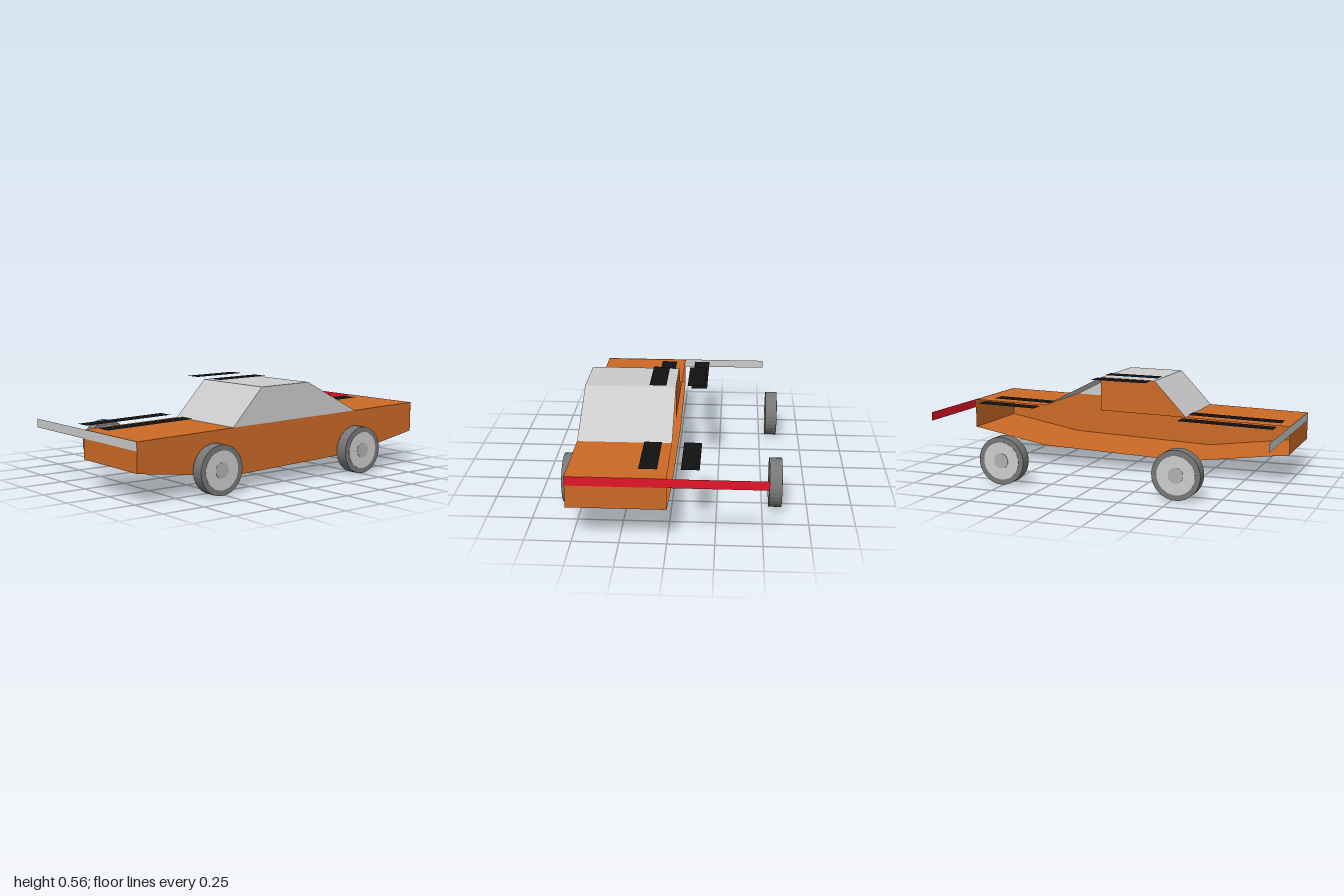
import * as THREE from 'three';

const paint = (color) =>
  new THREE.MeshStandardMaterial({ color, side: THREE.DoubleSide, flatShading: true });
const orange = paint(0xcc6a26), grey = paint(0xcccccc), black = paint(0x111111);
const red = paint(0xe61428), rubber = paint(0x777777), hubGrey = paint(0xb0b0b0);

const DEPTH = 0.525;
// Profile corners [x, y]
const floorLine = [[-1, 0.165], [-0.385, 0.083], [0.525, 0.115], [1, 0.2]];
const rearDeck = [[-1, 0.328], [-0.385, 0.344]];
const hoodLine = [[0.52, 0.364], [1, 0.375]];
const cabinLine = [rearDeck[1], [-0.19, 0.55], [0.15, 0.555], hoodLine[0]];

export function createModel() {
  const car = new THREE.Group();
  car.name = 'car';

  const add = (name, geometry, material, parent = car) => {
    const mesh = new THREE.Mesh(geometry, material);
    mesh.name = name;
    parent.add(mesh);
    return mesh;
  };

  // Sweeps a profile line sideways from z0 to z1, one quad per segment
  const sheet = (name, line, material, z0 = 0, z1 = DEPTH) => {
    const p = [];
    for (let i = 0; i < line.length - 1; i++) {
      const [ax, ay] = line[i], [bx, by] = line[i + 1];
      p.push(ax, ay, z0, ax, ay, z1, bx, by, z1, ax, ay, z0, bx, by, z1, bx, by, z0);
    }
    const g = new THREE.BufferGeometry();
    g.setAttribute('position', new THREE.Float32BufferAttribute(p, 3));
    g.computeVertexNormals();
    return add(name, g, material);
  };

  // Flat upright panel in the xy plane
  const panel = (name, points, z, material) => {
    const shape = new THREE.Shape(points.map(([x, y]) => new THREE.Vector2(x, y)));
    add(name, new THREE.ShapeGeometry(shape), material).position.z = z;
  };

  // Half-width body shell, open along the centre line
  sheet('floor', [...floorLine].reverse(), orange);
  sheet('rearDeck', rearDeck, orange);
  sheet('hood', hoodLine, orange);
  sheet('rearEnd', [floorLine[0], rearDeck[0]], orange);
  sheet('frontEnd', [hoodLine[1], floorLine[3]], orange);
  panel('bodySide', [...floorLine, hoodLine[1], hoodLine[0], rearDeck[1], rearDeck[0]], DEPTH, orange);

  // Cabin glass, roof and centre panel
  sheet('cabinTop', cabinLine, grey);
  panel('sideWindow', cabinLine, DEPTH, grey);
  panel('centrePanel', [cabinLine[0], [0.15, 0.356], cabinLine[2], cabinLine[1]], 0, orange);

  // Full-width light strips at both ends
  sheet('redLightStrip', [[1, 0.325], [1, 0.375]], red, -DEPTH, DEPTH).position.x = 0.002;
  sheet('greyLightStrip', [[-1, 0.28], [-1, 0.33]], grey, -DEPTH, DEPTH).position.x = -0.002;

  // Twin stripes floating just above the deck, roof and hood
  const stripes = {
    rearDeckStripe: [[-0.94, 0.336], [-0.385, 0.35]],
    roofStripe: [[-0.19, 0.558], [0.145, 0.562]],
    hoodStripe: [[0.52, 0.37], [0.895, 0.379]],
  };
  for (const [name, line] of Object.entries(stripes)) {
    sheet(name, line, black, 0.055, 0.153);
    sheet(name, line, black, -0.165, -0.067);
  }

  // Wheels with rim and hub discs on both faces
  for (const x of [-0.522, 0.511]) {
    for (const z of [0.567, -0.572]) {
      const wheel = new THREE.Group();
      wheel.name = 'wheel';
      wheel.position.set(x, 0.139, z);
      wheel.rotation.x = Math.PI / 2;
      add('tire', new THREE.CylinderGeometry(0.137, 0.137, 0.07, 32), rubber, wheel);
      add('rim', new THREE.CylinderGeometry(0.107, 0.107, 0.074, 32), grey, wheel);
      add('hub', new THREE.CylinderGeometry(0.043, 0.043, 0.078, 24), hubGrey, wheel);
      car.add(wheel);
    }
  }
  return car;
}
